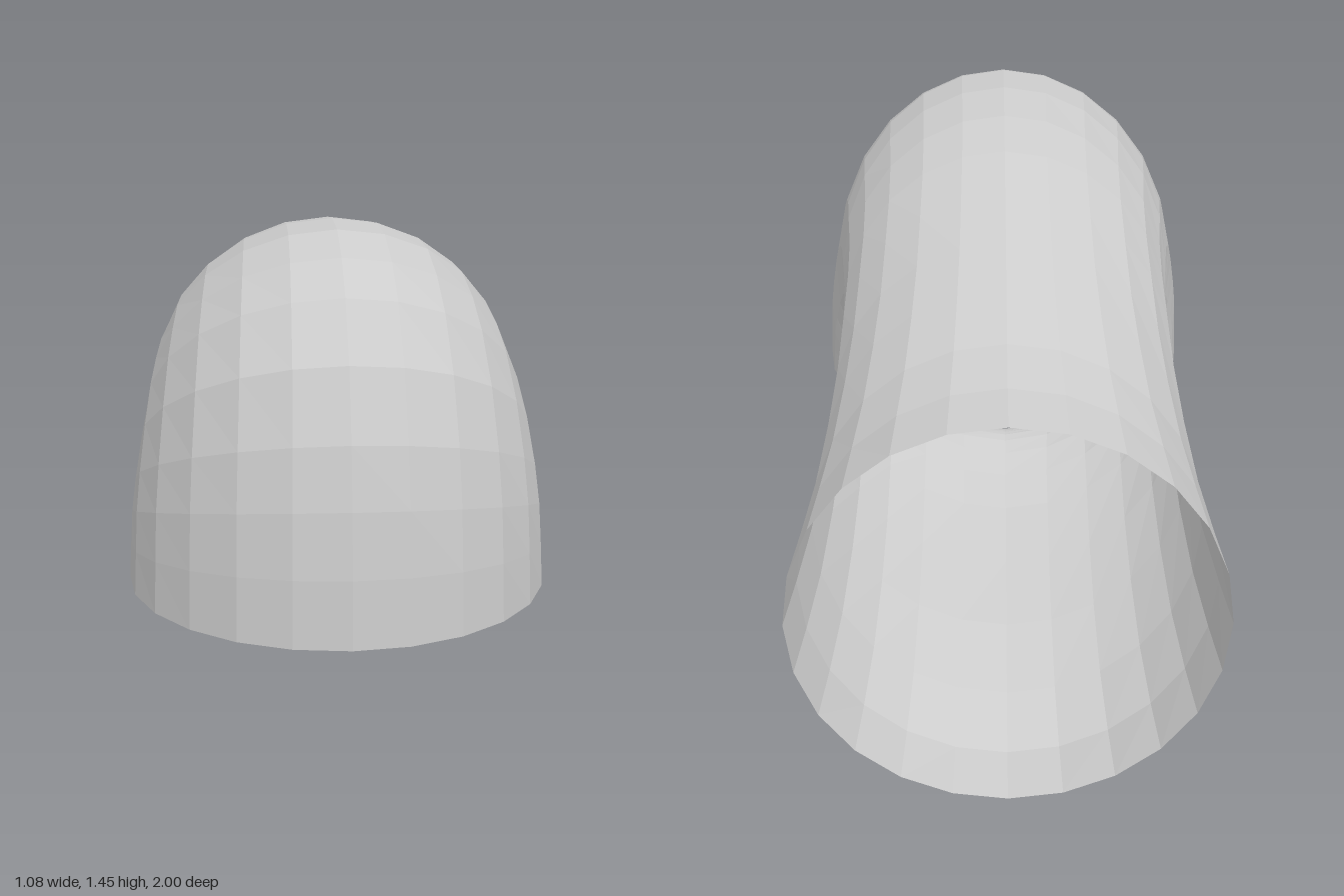
import * as THREE from 'three';

// Each ring: outer edge z, y; inner edge z, y; half width in x
const RINGS = [
  [1.00, 0.55, -0.08, 0.55, 0.54],
  [0.99, 0.72, -0.085, 0.56, 0.535],
  [0.97, 0.88, -0.09, 0.568, 0.53],
  [0.935, 1.03, -0.10, 0.575, 0.52],
  [0.86, 1.20, -0.115, 0.582, 0.505],
  [0.74, 1.335, -0.13, 0.586, 0.49],
  [0.62, 1.41, -0.14, 0.587, 0.477],
  [0.47, 1.455, -0.155, 0.587, 0.465],
  [0.30, 1.458, -0.18, 0.582, 0.455],
  [0.12, 1.435, -0.22, 0.565, 0.443],
  [-0.04, 1.39, -0.28, 0.53, 0.44],
  [-0.20, 1.33, -0.35, 0.465, 0.445],
  [-0.37, 1.265, -0.45, 0.355, 0.453],
  [-0.53, 1.205, -0.56, 0.225, 0.47],
  [-0.69, 1.14, -0.69, 0.097, 0.495],
  [-0.84, 1.10, -0.84, 0.02, 0.522],
  [-1.00, 1.085, -1.00, 0.005, 0.54],
];
const SIDES = 24;

// Lofts elliptical rings into an open tube
function loftTube(rings, sides) {
  const positions = [];
  const index = [];
  rings.forEach(([oz, oy, iz, iy, w], k) => {
    for (let s = 0; s < sides; s++) {
      const a = (s / sides) * Math.PI * 2;
      const c = Math.cos(a) / 2;
      positions.push(
        Math.sin(a) * w,
        (oy + iy) / 2 + c * (oy - iy),
        (oz + iz) / 2 + c * (oz - iz)
      );
      if (k === rings.length - 1) continue;
      const n = (s + 1) % sides;
      const p = k * sides + s, q = k * sides + n;
      index.push(p, q, p + sides, q, q + sides, p + sides);
    }
  });
  const geometry = new THREE.BufferGeometry();
  geometry.setAttribute('position', new THREE.Float32BufferAttribute(positions, 3));
  geometry.setIndex(index);
  geometry.computeVertexNormals();
  return geometry;
}

export function createModel() {
  const group = new THREE.Group();
  group.name = 'pipeElbow';

  // Bent pipe, open at the bottom and at the back
  const material = new THREE.MeshStandardMaterial({
    color: 0xcccccc,
    flatShading: true,
    side: THREE.DoubleSide,
  });
  const pipe = new THREE.Mesh(loftTube(RINGS, SIDES), material);
  pipe.name = 'bentPipe';
  group.add(pipe);
  return group;
}
